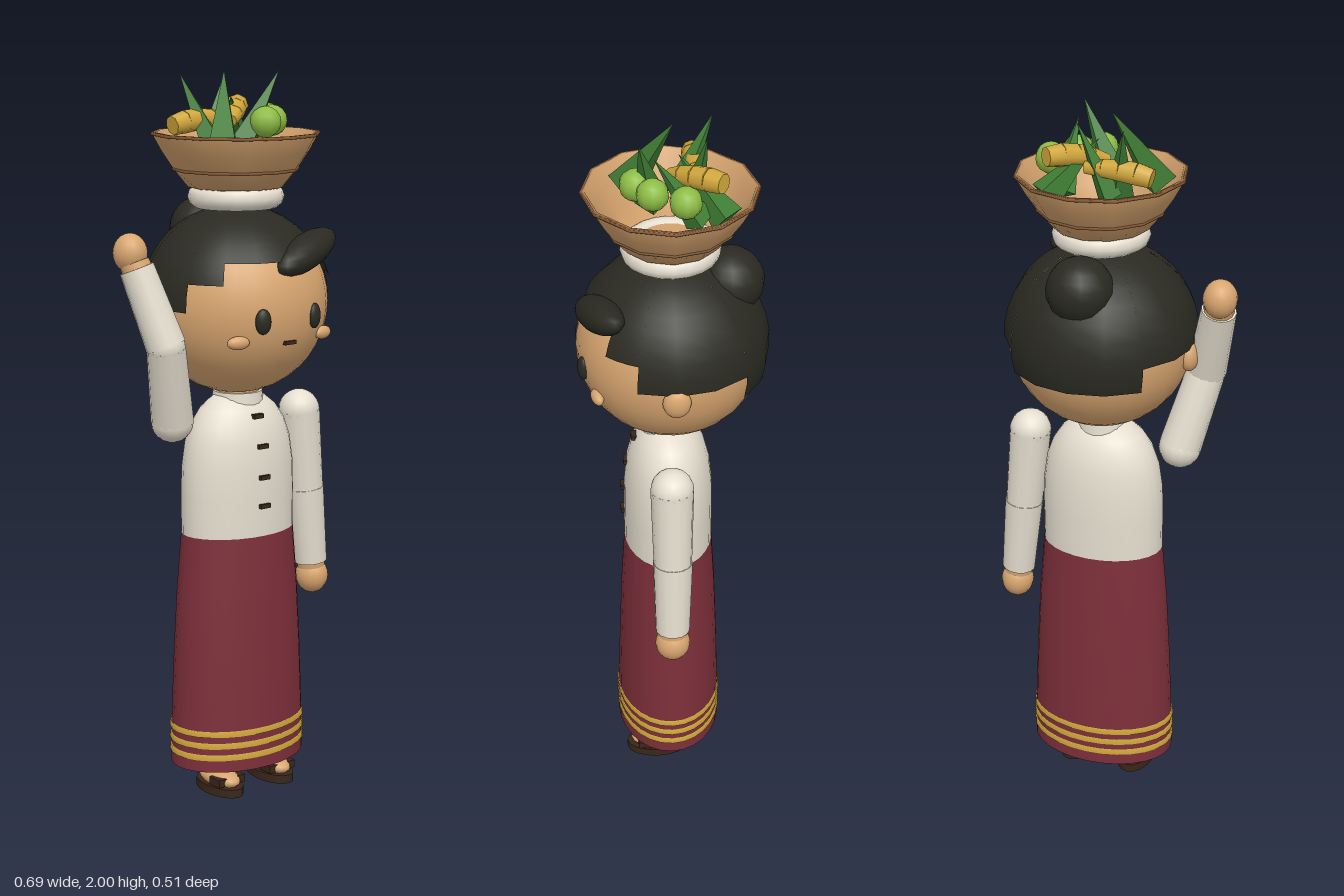
import * as THREE from 'three';

const CX = 0.033; // the body's middle line
const CZ = 0.008;
const HEAD_Y = 1.38;
const V = (x, y, z) => new THREE.Vector3(x, y, z);

export function createModel() {
  const model = new THREE.Group();
  model.name = 'basketCarrier';

  const material = (name, color, extra = {}) => {
    const m = new THREE.MeshStandardMaterial({ color, ...extra });
    m.name = name;
    return m;
  };
  const skin = material('skin', 0xd9a670);
  const hair = material('hair', 0x2a2a22, { side: THREE.DoubleSide });
  const cloth = material('blouseCloth', 0xe6dfd0);
  const skirtRed = material('skirtRed', 0x7d2f3a, { side: THREE.DoubleSide });
  const gold = material('gold', 0xd2a83c);
  const dark = material('darkBrown', 0x3a261a);
  const leafGreen = material('leafGreen', 0x3f7d34, { flatShading: true });
  const lime = material('limeGreen', 0x8dbd45);
  const wicker = material('wicker', 0xcf9e6a);
  const rimBrown = material('rimBrown', 0x8a5c36);

  const add = (name, geometry, mat, x = 0, y = 0, z = 0, parent = model) => {
    const mesh = new THREE.Mesh(geometry, mat);
    mesh.name = name;
    mesh.position.set(x, y, z);
    parent.add(mesh);
    return mesh;
  };
  const ellipsoid = (name, mat, x, y, z, rx, ry, rz, w = 16, h = 12) => {
    const mesh = add(name, new THREE.SphereGeometry(1, w, h), mat, x, y, z);
    mesh.scale.set(rx, ry, rz);
    return mesh;
  };
  // Tapered cylinder from point a to point b
  const limb = (name, mat, a, b, ra, rb, sides = 14) => {
    const d = b.clone().sub(a);
    const mesh = add(name, new THREE.CylinderGeometry(rb, ra, d.length(), sides), mat);
    mesh.position.copy(a).addScaledVector(d, 0.5);
    mesh.quaternion.setFromUnitVectors(V(0, 1, 0), d.normalize());
    return mesh;
  };
  // Oval turned shape around the body's middle line
  const oval = (name, mat, points, depth) => {
    const g = new THREE.LatheGeometry(points.map(([r, y]) => new THREE.Vector2(r, y)), 28);
    const mesh = add(name, g, mat, CX, 0, CZ);
    mesh.scale.z = depth;
    return mesh;
  };

  // Skirt, open at the hem, with three gold bands
  oval('skirt', skirtRed, [[0.206, 0.085], [0.204, 0.2], [0.196, 0.4], [0.186, 0.58], [0.172, 0.745]], 0.71);
  for (const y of [0.127, 0.161, 0.195]) {
    oval('skirtBand', gold, [[0.207, y - 0.008], [0.209, y - 0.008], [0.208, y + 0.008], [0.205, y + 0.008]], 0.71);
  }

  // Blouse and neck
  oval('blouse', cloth, [[0.171, 0.74], [0.172, 0.85], [0.17, 0.93], [0.16, 1.0], [0.142, 1.05],
    [0.115, 1.09], [0.072, 1.125], [0.0, 1.13]], 0.71);
  add('collar', new THREE.CylinderGeometry(0.068, 0.075, 0.07, 20), cloth, CX, 1.1, CZ);
  add('neck', new THREE.CylinderGeometry(0.06, 0.06, 0.1, 16), skin, CX, 1.14, CZ);
  [[1.075, 0.1], [0.995, 0.122], [0.91, 0.13], [0.83, 0.131]].forEach(([y, z]) =>
    add('button', new THREE.BoxGeometry(0.032, 0.012, 0.016), dark, CX - 0.002, y, z));

  // Legs and sandals
  for (const side of [-1, 1]) {
    const x = CX + side * 0.09;
    add('leg', new THREE.CylinderGeometry(0.052, 0.05, 0.4, 14), skin, x, 0.265, 0.012);
    const sole = new THREE.CylinderGeometry(1, 1, 0.024, 16);
    add('sandalSole', sole, dark, x, 0.017, 0.046).scale.set(0.05, 1, 0.088);
    ellipsoid('foot', skin, x, 0.042, 0.045, 0.042, 0.026, 0.078);
    add('sandalStrap', new THREE.BoxGeometry(0.09, 0.022, 0.045), dark, x, 0.044, 0.08);
  }

  // Sleeved arm: shoulder, elbow, wrist, hand
  const arm = (side, shoulder, elbow, wrist, hand) => {
    ellipsoid(side + 'Shoulder', cloth, ...shoulder.toArray(), 0.058, 0.058, 0.058);
    limb(side + 'UpperSleeve', cloth, shoulder, elbow, 0.058, 0.052);
    ellipsoid(side + 'Elbow', cloth, ...elbow.toArray(), 0.052, 0.052, 0.052);
    limb(side + 'LowerSleeve', cloth, elbow, wrist, 0.054, 0.047);
    limb(side + 'Wrist', skin, wrist.clone().lerp(elbow, 0.1), wrist.clone().lerp(hand, 0.35), 0.042, 0.04);
    ellipsoid(side + 'Hand', skin, ...hand.toArray(), 0.046, 0.052, 0.048);
  };
  arm('left', V(0.25, 1.052, 0.01), V(0.273, 0.825, 0.01), V(0.295, 0.605, 0.012), V(0.3, 0.562, 0.012));
  arm('right', V(-0.19, 1.075, 0.01), V(-0.245, 1.29, 0.06), V(-0.295, 1.495, 0.0), V(-0.303, 1.535, -0.018));

  // Head and face
  add('head', new THREE.SphereGeometry(0.25, 28, 20), skin, CX, HEAD_Y, 0);
  for (const side of [-1, 1]) {
    ellipsoid('ear', skin, CX + side * 0.25, 1.352, 0, 0.024, 0.042, 0.037);
    const eye = ellipsoid('eye', hair, CX - 0.003 + side * 0.087, 1.36, 0.234, 0.022, 0.034, 0.014);
    eye.rotation.y = side * 0.36;
    const cheek = ellipsoid('cheek', skin, CX - 0.003 + side * 0.143, 1.305, 0.2, 0.032, 0.018, 0.016);
    cheek.rotation.y = side * 0.25;
  }
  add('mouth', new THREE.BoxGeometry(0.036, 0.01, 0.012), dark, CX - 0.003, 1.297, 0.237);

  // Hair cap in angular sectors, measured from the front, each with its own length
  const deg = Math.PI / 180;
  const sectors = [[-45, 45, 0.13], [45, 67.5, 0.075], [67.5, 135, 0], [135, 225, -0.07],
    [225, 292.5, 0], [292.5, 315, 0.075]];
  for (const [from, to, drop] of sectors) {
    const g = new THREE.SphereGeometry(0.262, Math.round((to - from) / 22.5), 10,
      (90 + from) * deg, (to - from) * deg, 0, Math.acos(drop / 0.262));
    add('hairCap', g, hair, CX, HEAD_Y, 0);
  }
  ellipsoid('hairBun', hair, CX, 1.562, -0.155, 0.09, 0.09, 0.09);
  const lock = ellipsoid('hairLock', hair, 0.122, 1.525, 0.188, 0.132, 0.046, 0.052);
  lock.rotation.set(0, 0.3, 0.3);

  // Head pad and basket bowl
  const pad = add('headPad', new THREE.TorusGeometry(0.1, 0.031, 10, 20), cloth, CX, 1.664, 0);
  pad.rotation.x = Math.PI / 2;
  const bowl = [[0, 1.678], [0.13, 1.69], [0.168, 1.737], [0.2, 1.785], [0.228, 1.836],
    [0.217, 1.836], [0.19, 1.79], [0.158, 1.742], [0.122, 1.688], [0, 1.686]];
  add('bowl', new THREE.LatheGeometry(bowl.map(([r, y]) => new THREE.Vector2(r, y)), 12), wicker, CX, 0, 0);
  for (const [r, y] of [[0.225, 1.832], [0.168, 1.738]]) {
    const ring = add('bowlRing', new THREE.TorusGeometry(r, 0.005, 6, 12), rimBrown, CX, y, 0);
    ring.rotation.set(Math.PI / 2, 0, 0);
  }

  // Round fruit
  [[0.16, -0.03], [0.115, 0.05], [0.062, 0.09]].forEach(([x, z]) =>
    add('limeFruit', new THREE.SphereGeometry(0.042, 10, 8), lime, x, 1.865, z));

  // Pointed leaves: tip, then foot
  const leaves = [
    [V(0, 2.0, -0.01), V(-0.088, 1.79, 0.105), 0.052],
    [V(0.113, 2.0, 0.083), V(0.01, 1.79, 0.045), 0.045],
    [V(-0.07, 1.99, -0.115), V(-0.025, 1.79, -0.02), 0.04],
    [V(0.065, 1.99, -0.09), V(-0.015, 1.79, -0.06), 0.035],
    [V(0.03, 1.93, -0.02), V(0.135, 1.8, -0.135), 0.045],
    [V(0.112, 1.96, 0.045), V(0.118, 1.79, -0.07), 0.042],
  ];
  for (const [tip, foot, r] of leaves) limb('leaf', leafGreen, foot, tip, r, 0, 4);

  // Yellow fruit built as short tapering sections along a bent path
  const yellowFruit = (a, mid, b, r) => {
    const path = new THREE.QuadraticBezierCurve3(a, mid, b).getPoints(4);
    const radii = [0.85, 1, 0.95, 0.8, 0.55];
    for (let i = 0; i < 4; i++) limb('yellowFruit', gold, path[i], path[i + 1], r * radii[i], r * radii[i + 1], 8);
  };
  yellowFruit(V(-0.13, 1.855, -0.065), V(-0.05, 1.875, -0.068), V(0.05, 1.865, -0.07), 0.031);
  yellowFruit(V(0.135, 1.9, -0.125), V(0.08, 1.9, -0.055), V(0.015, 1.865, 0), 0.031);

  return model;
}
